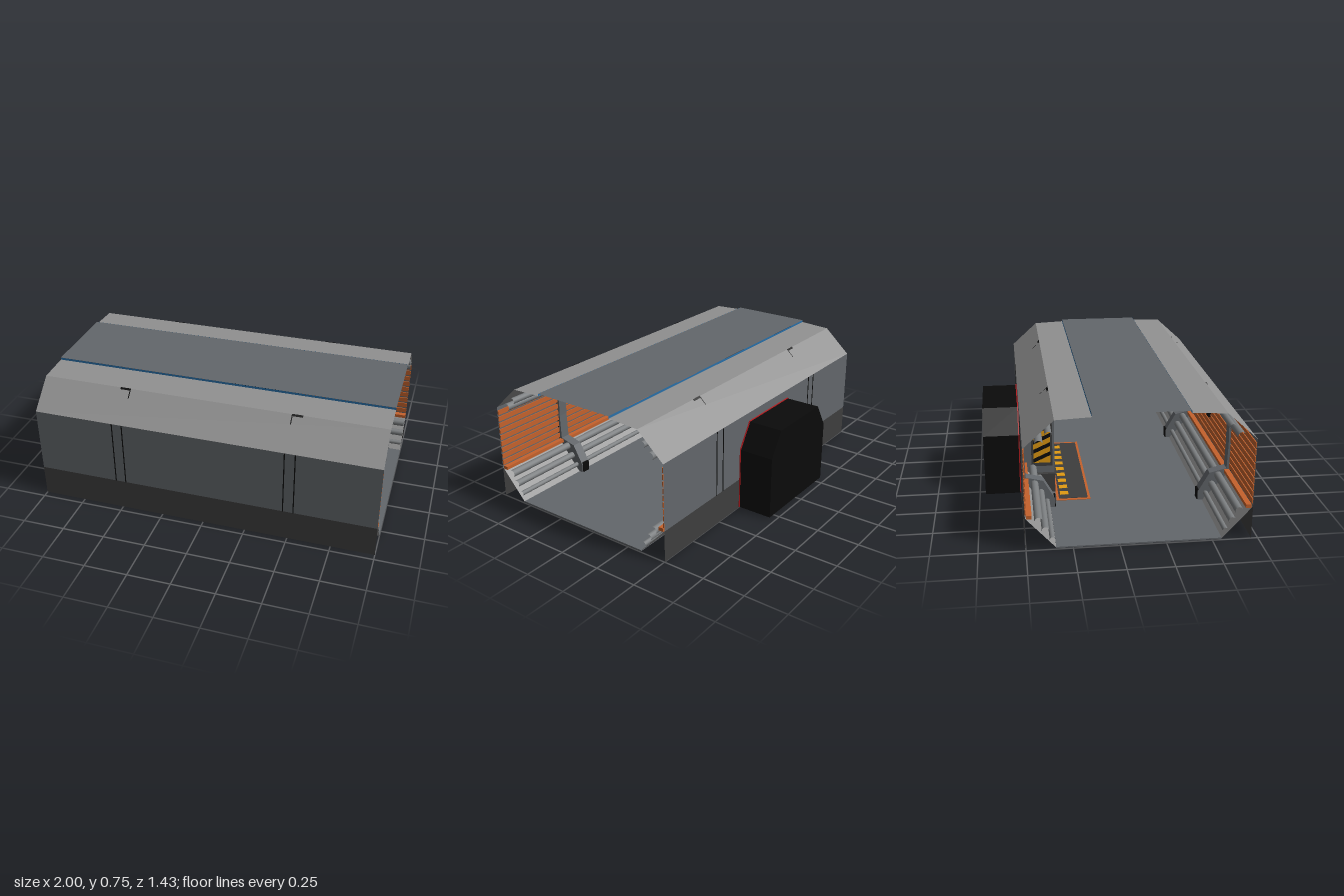
import * as THREE from 'three';

const mat = (name, color, side = THREE.DoubleSide) => {
  const m = new THREE.MeshStandardMaterial({ color, side });
  m.name = name;
  return m;
};

export function createModel() {
  const M = {
    panel: mat('panelGrey', 0x63676b),
    light: mat('lightGrey', 0x919191),
    dark: mat('darkGrey', 0x3e3e3e),
    black: mat('black', 0x0b0b0b),
    pipe: mat('pipeGrey', 0x7b7e80, THREE.FrontSide),
    orange: mat('orange', 0xc5622c),
    blue: mat('blue', 0x2a70a8),
    red: mat('red', 0xb81a1e),
    yellow: mat('yellow', 0xe09a12),
  };
  const model = new THREE.Group();
  model.name = 'corridorSection';
  const C = 0.105; // z of the corridor's middle

  const add = (name, geo, material, parent = model) => {
    const mesh = new THREE.Mesh(geo, material);
    mesh.name = name;
    parent.add(mesh);
    return mesh;
  };
  const box = (name, material, w, h, d, x, y, z, parent) => {
    const b = add(name, new THREE.BoxGeometry(w, h, d), material, parent);
    b.position.set(x, y, z);
    return b;
  };
  // flat sheet between two [z, y] points, outer face on the s side
  const sheet = (name, material, a, b, s, parent, x0 = -1, x1 = 1) => {
    const p = [[x0, a], [x1, a], [x1, b], [x0, b]].map(([x, q]) => [x, q[1], q[0]]);
    const g = new THREE.BufferGeometry();
    g.setAttribute('position', new THREE.Float32BufferAttribute(p.flat(), 3));
    g.setIndex(s > 0 ? [0, 1, 2, 0, 2, 3] : [0, 2, 1, 0, 3, 2]);
    g.computeVertexNormals();
    return add(name, g, material, parent);
  };
  const outline = (pts) => new THREE.Shape(pts.map((p) => new THREE.Vector2(...p)));

  // roof and floor
  sheet('roof', M.panel, [C + 0.255, 0.75], [C - 0.255, 0.75], 1);
  box('floor', M.panel, 2, 0.008, 0.89, 0, 0.012, C);
  for (const x of [-0.2, 0.2]) box('floorDrain', M.black, 0.09, 0.006, 0.07, x, 0.006, 0.42);

  const ribProfile = [[0.445, 0.725], [0.602, 0.573], [0.602, 0.195], [0.448, 0.01],
    [0.42, 0.01], [0.42, 0.07], [0.485, 0.185], [0.585, 0.21],
    [0.59, 0.36], [0.585, 0.525], [0.425, 0.65], [0.42, 0.725]];

  // both long sides
  for (const s of [1, -1]) {
    const side = new THREE.Group();
    side.name = s > 0 ? 'frontSide' : 'backSide';
    model.add(side);
    const at = (o, y) => [C + s * o, y];

    // outer skins
    sheet('skirt', M.dark, at(0.608, 0.005), at(0.608, 0.19), s, side);
    sheet('wall', M.panel, at(0.608, 0.19), at(0.608, 0.58), s, side);
    sheet('shoulder', M.light, at(0.608, 0.58), at(0.445, 0.728), s, side);
    sheet('roofEdge', M.light, at(0.445, 0.728), at(0.255, 0.737), s, side);
    sheet('blueTrim', M.blue, at(0.256, 0.735), at(0.256, 0.75), s, side);
    sheet('lowerSlope', M.light, at(0.445, 0.012), at(0.605, 0.19), s, side);

    // slatted inner wall
    for (let i = 0; i < 9; i++) {
      box('wallSlat', M.orange, 2, 0.029, 0.006, 0, 0.225 + i * 0.04, C + s * 0.603, side);
    }
    box('orangeRail', M.orange, 2, 0.02, 0.03, 0, 0.195, C + s * 0.585, side);

    // pipes along the upper and lower corners
    for (const [o, y, r] of [[0.525, 0.6, 0.022], [0.475, 0.65, 0.018],
      [0.535, 0.17, 0.022], [0.5, 0.115, 0.02], [0.465, 0.06, 0.014]]) {
      const g = new THREE.CylinderGeometry(r, r, 2, 12, 1, true).rotateZ(Math.PI / 2);
      add('pipe', g, M.pipe, side).position.set(0, y, C + s * o);
    }

    // ribs, their clips and the seams they leave outside
    for (const x of [-0.5, 0.5]) {
      const rib = new THREE.ExtrudeGeometry(outline(ribProfile.map(([o, y]) => [s * o, y])),
        { depth: 0.06, bevelEnabled: false });
      rib.rotateY(-Math.PI / 2).translate(x + 0.03, 0, C);
      add('rib', rib, M.panel, side);
      const clip = box('pipeClip', M.black, 0.04, 0.11, 0.014, x, 0.585, C + s * 0.475, side);
      clip.rotation.x = s * 0.12;
      box('ribFoot', M.black, 0.05, 0.07, 0.012, x, 0.045, C + s * 0.422, side);
      for (const dx of [-0.03, 0.03]) {
        box('wallSeam', M.black, 0.006, 0.39, 0.004, x + dx, 0.385, C + s * 0.608, side);
      }
      const inner = x - Math.sign(x) * 0.03;
      sheet('shoulderSeam', M.black, at(0.49, 0.69), at(0.446, 0.731), s, side,
        inner - 0.003, inner + 0.003);
      sheet('shoulderSeamTop', M.black, at(0.455, 0.722), at(0.446, 0.731), s, side,
        x - 0.03, x + 0.03);
    }
  }

  // alcove housing behind the back wall, with a red rim
  const arch = [[-0.3, 0.01], [0.3, 0.01], [0.3, 0.38], [0.21, 0.525], [-0.21, 0.525], [-0.3, 0.38]];
  const housing = new THREE.ExtrudeGeometry(outline(arch), { depth: 0.21, bevelEnabled: false });
  add('alcoveHousing', housing.translate(0, 0, -0.715), M.black);
  const rim = new THREE.ExtrudeGeometry(
    outline(arch.map(([x, y]) => [x * 1.01, y > 0.02 ? y + 0.004 : y])),
    { depth: 0.006, bevelEnabled: false });
  add('alcoveRim', rim.translate(0, 0, -0.51), M.red);

  // doorway surround inside
  const portal = new THREE.Group();
  portal.name = 'doorway';
  model.add(portal);
  const surround = outline([[-0.3, 0.006], [0.3, 0.006], [0.3, 0.49], [-0.3, 0.49]]);
  surround.holes.push(new THREE.Path([[-0.21, 0.03], [-0.21, 0.34], [-0.15, 0.43],
    [0.15, 0.43], [0.21, 0.34], [0.21, 0.03]].map((p) => new THREE.Vector2(...p))));
  const frame = new THREE.ExtrudeGeometry(surround, { depth: 0.19, bevelEnabled: false });
  add('doorSurround', frame.translate(0, 0, -0.49), M.panel, portal);
  box('door', M.black, 0.44, 0.42, 0.006, 0, 0.23, -0.485, portal);

  // hazard panels on the doorway's two flanks
  for (const s of [1, -1]) {
    box('hazardBorder', M.dark, 0.006, 0.3, 0.125, s * 0.303, 0.33, -0.375, portal);
    box('hazardPanel', M.yellow, 0.006, 0.26, 0.1, s * 0.306, 0.333, -0.375, portal);
    for (let i = 0; i < 4; i++) {
      const y = 0.205 + i * 0.058;
      const stripe = new THREE.ShapeGeometry(outline(
        [[-0.05, y], [0.05, y + 0.045], [0.05, y + 0.07], [-0.05, y + 0.025]]));
      stripe.rotateY(s * Math.PI / 2).translate(s * 0.3105, 0, -0.375);
      add('hazardStripe', stripe, M.black, portal);
    }
    box('doorFoot', M.dark, 0.03, 0.13, 0.14, s * 0.31, 0.071, -0.37, portal);
  }

  // marked floor area in front of the door
  box('matEdge', M.orange, 0.9, 0.004, 0.2, 0, 0.017, -0.2);
  box('mat', M.dark, 0.86, 0.004, 0.17, 0, 0.019, -0.2);
  for (let i = 0; i < 9; i++) {
    box('matStripe', M.yellow, 0.045, 0.004, 0.05, -0.36 + i * 0.09, 0.021, -0.25);
  }
  return model;
}
